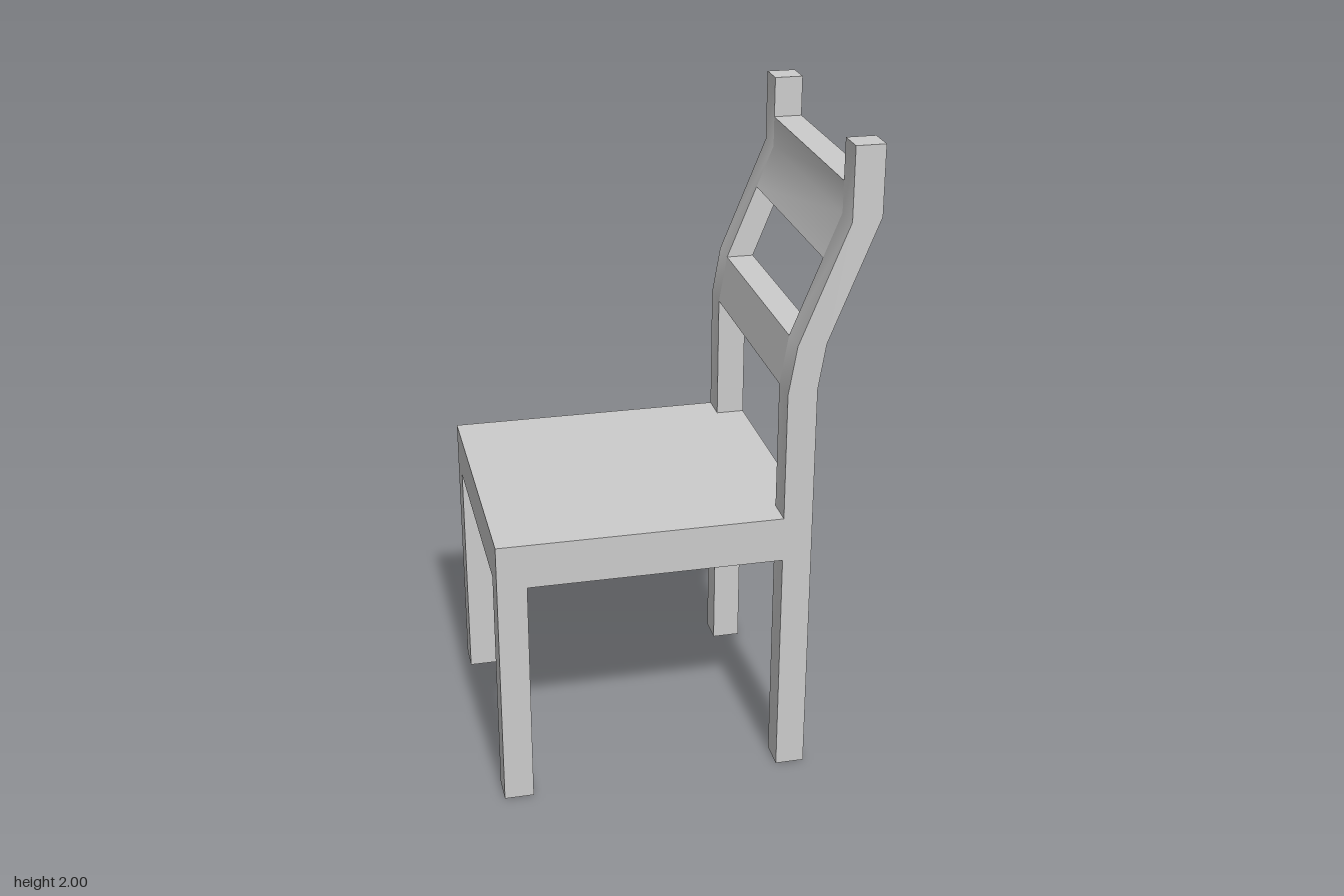
import * as THREE from 'three';
import { toCreasedNormals } from 'three/addons/utils/BufferGeometryUtils.js';

const HALF_X = 0.563, HALF_Z = 0.443, POST = 0.09;
const SEAT_BOTTOM = 0.73, SEAT_TOP = 0.87;
const INNER_Z = HALF_Z - POST;

// Seat-side and rear edges of the bent back, as [x, y] from floor to top
const FRONT_EDGE = [[0.303, 0], [0.303, 1.27], [0.328, 1.42], [0.474, 1.78], [0.474, 2]];
const REAR_EDGE = [[0.392, 0], [0.392, 1.28], [0.414, 1.42], [0.563, 1.79], [0.563, 2]];

const material = new THREE.MeshStandardMaterial({ color: 0xcccccc });

function xAt(edge, y) {
  const i = Math.max(1, edge.findIndex((p) => p[1] >= y));
  const [x0, y0] = edge[i - 1], [x1, y1] = edge[i];
  return x0 + (x1 - x0) * (y - y0) / (y1 - y0);
}

// The stretch of an edge between two heights
function cutEdge(edge, y0, y1) {
  const inside = edge.filter(([, y]) => y > y0 && y < y1);
  return [[xAt(edge, y0), y0], ...inside, [xAt(edge, y1), y1]];
}

// Slice of the back profile between two heights, extruded from z0 to z1
function backPiece(name, y0, y1, z0, z1) {
  const outline = [...cutEdge(REAR_EDGE, y0, y1), ...cutEdge(FRONT_EDGE, y0, y1).reverse()];
  const shape = new THREE.Shape(outline.map(([x, y]) => new THREE.Vector2(x, y)));
  const geometry = new THREE.ExtrudeGeometry(shape, { depth: z1 - z0, bevelEnabled: false });
  geometry.translate(0, 0, z0);
  return makeMesh(name, toCreasedNormals(geometry, 0.6));
}

function makeMesh(name, geometry) {
  const mesh = new THREE.Mesh(geometry, material);
  mesh.name = name;
  return mesh;
}

export function createModel() {
  const chair = new THREE.Group();
  chair.name = 'chair';

  // Seat slab, notched at the rear corners around the posts
  const notchX = FRONT_EDGE[0][0], rearX = REAR_EDGE[0][0];
  const plan = new THREE.Shape([
    [-HALF_X, -HALF_Z], [notchX, -HALF_Z], [notchX, -INNER_Z], [rearX, -INNER_Z],
    [rearX, INNER_Z], [notchX, INNER_Z], [notchX, HALF_Z], [-HALF_X, HALF_Z],
  ].map(([x, z]) => new THREE.Vector2(x, z)));
  const seat = new THREE.ExtrudeGeometry(plan, { depth: SEAT_TOP - SEAT_BOTTOM, bevelEnabled: false });
  seat.rotateX(-Math.PI / 2).translate(0, SEAT_BOTTOM, 0);
  chair.add(makeMesh('seat', seat));

  // Front legs and full-height back posts on both sides
  for (const side of [-1, 1]) {
    const z = side * (HALF_Z - POST / 2);
    const leg = makeMesh('frontLeg', new THREE.BoxGeometry(POST, SEAT_BOTTOM, POST));
    leg.position.set(-HALF_X + POST / 2, SEAT_BOTTOM / 2, z);
    chair.add(leg, backPiece('backPost', 0, 2, z - POST / 2, z + POST / 2));
  }

  // Slats following the bend of the posts
  chair.add(backPiece('lowerSlat', 1.27, 1.42, -INNER_Z, INNER_Z));
  chair.add(backPiece('upperSlat', 1.65, 1.875, -INNER_Z, INNER_Z));
  return chair;
}
